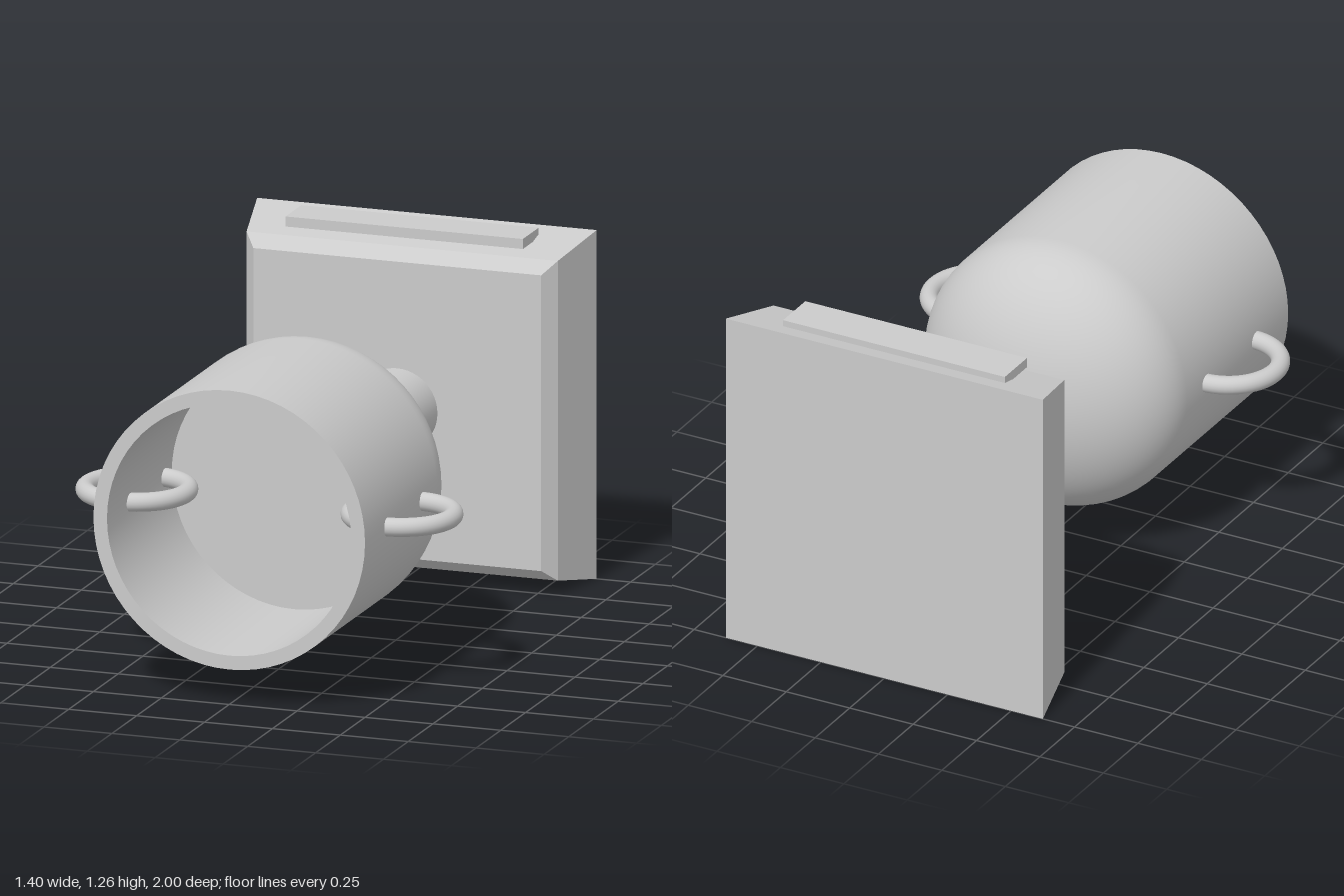
import * as THREE from 'three';
import { toCreasedNormals } from 'three/addons/utils/BufferGeometryUtils.js';

const AXIS_Y = 0.626; // height of the trophy's lying axis
const CUP_R = 0.5;

export function createModel() {
  const group = new THREE.Group();
  const material = new THREE.MeshStandardMaterial({ color: 0xcccccc });
  const add = (name, geometry, x = 0, y = 0, z = 0) => {
    const mesh = new THREE.Mesh(geometry, material);
    mesh.name = name;
    mesh.position.set(x, y, z);
    group.add(mesh);
    return mesh;
  };

  // Cup: elliptical dome, straight wall, thick rim and flat inner floor
  const profile = [];
  for (let i = 0; i <= 20; i++) {
    const a = (i / 20) * Math.PI / 2;
    profile.push(new THREE.Vector2(CUP_R * Math.sin(a), 0.27 - 0.35 * Math.cos(a)));
  }
  for (const [r, h] of [[CUP_R, 1], [0.45, 1], [0.45, 0.345], [0, 0.345]]) {
    profile.push(new THREE.Vector2(r, h));
  }
  const cup = new THREE.LatheGeometry(profile, 64).rotateX(Math.PI / 2);
  add('cup', toCreasedNormals(cup, 0.6), 0, AXIS_Y, 0);

  // Stem between dome and base
  const stem = new THREE.CylinderGeometry(0.148, 0.148, 0.68, 48).rotateX(Math.PI / 2);
  add('stem', stem, 0, AXIS_Y, -0.38);

  // Ring handles passing through the cup wall
  for (const side of [-1, 1]) {
    const ring = new THREE.TorusGeometry(0.18, 0.033, 20, 56).rotateX(Math.PI / 2);
    add(side > 0 ? 'leftHandle' : 'rightHandle', ring, side * 0.488, AXIS_Y, 0.593);
  }

  // Square base: stacked square sections, tapered and bevelled to the stem side
  add('base', squareLoft([[0.625, -1], [0.573, -0.75], [0.53, -0.7]]), 0, AXIS_Y, 0);

  // Name plate on the upper side of the base
  add('namePlate', new THREE.BoxGeometry(0.874, 0.036, 0.16), 0, 1.242, -0.85);

  // Shallow star on the underside of the cup, bent around the wall
  add('star', starGeometry(0.13, 0.055), 0, AXIS_Y, 0.61);

  return group;
}

// Closed loft through squares given as [half size, z]
function squareLoft(sections) {
  const corners = [[-1, -1], [1, -1], [1, 1], [-1, 1]];
  const pos = [];
  const index = [];
  for (const [h, z] of sections) for (const [x, y] of corners) pos.push(x * h, y * h, z);
  for (let s = 0; s < sections.length - 1; s++) {
    for (let i = 0; i < 4; i++) {
      const a = s * 4 + i, b = s * 4 + (i + 1) % 4;
      index.push(a, b, b + 4, a, b + 4, a + 4);
    }
  }
  const t = (sections.length - 1) * 4;
  index.push(0, 2, 1, 0, 3, 2, t, t + 1, t + 2, t, t + 2, t + 3);
  return flat(pos, index);
}

// Five-pointed star wrapped on the cup wall with a thin skirt
function starGeometry(outer, inner) {
  const pos = [];
  const index = [];
  const put = (x, z, r) => pos.push(x, -Math.sqrt(r * r - x * x), z);
  put(0, 0, CUP_R + 0.004);
  for (let i = 0; i < 10; i++) {
    const a = (i / 10) * Math.PI * 2;
    const r = i % 2 ? inner : outer;
    put(r * Math.sin(a), r * Math.cos(a), CUP_R + 0.004);
    put(r * Math.sin(a), r * Math.cos(a), CUP_R - 0.01);
  }
  for (let i = 0; i < 10; i++) {
    const a = 1 + i * 2, b = 1 + ((i + 1) % 10) * 2;
    index.push(0, b, a, a, b, b + 1, a, b + 1, a + 1);
  }
  return flat(pos, index);
}

function flat(pos, index) {
  const g = new THREE.BufferGeometry();
  g.setAttribute('position', new THREE.Float32BufferAttribute(pos, 3));
  g.setIndex(index);
  const out = g.toNonIndexed();
  out.computeVertexNormals();
  return out;
}
